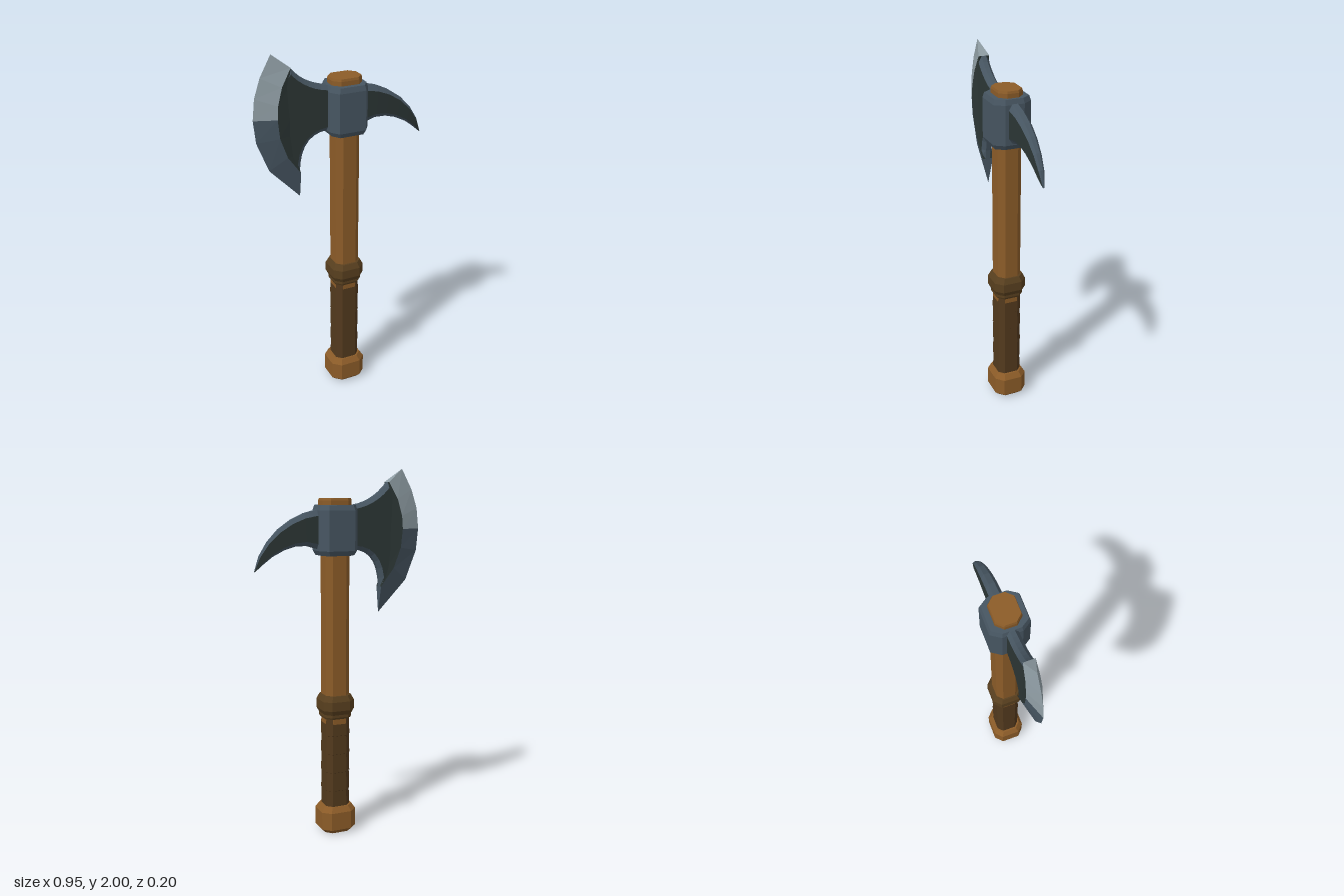
import * as THREE from 'three';

const mat = (name, color) => {
  const m = new THREE.MeshStandardMaterial({ color });
  m.name = name;
  return m;
};

// Flat-shaded skin through closed rings of [x, y, z]; sideMats picks a material per ring side.
function loft(rings, sideMats = () => 0) {
  const buckets = [[], []];
  const n = rings[0].length;
  const tri = (m, ...pts) => pts.forEach((p) => buckets[m].push(...p));
  for (let r = 0; r < rings.length - 1; r++) {
    for (let i = 0; i < n; i++) {
      const j = (i + 1) % n, a = rings[r], b = rings[r + 1], m = sideMats(i);
      tri(m, a[i], a[j], b[j]);
      tri(m, a[i], b[j], b[i]);
    }
  }
  const first = rings[0], last = rings[rings.length - 1];
  for (let i = 1; i < n - 1; i++) {
    tri(0, first[0], first[i + 1], first[i]);
    tri(0, last[0], last[i], last[i + 1]);
  }
  const g = new THREE.BufferGeometry();
  g.setAttribute('position', new THREE.Float32BufferAttribute(buckets.flat(), 3));
  g.addGroup(0, buckets[0].length / 3, 0);
  g.addGroup(buckets[0].length / 3, buckets[1].length / 3, 1);
  g.computeVertexNormals();
  return g;
}

// Upright octagonal prism: half width, half depth, corner cuts, and [y, scale] layers.
const AXIS = 0.022;
function prism(w, d, cx, cz, layers) {
  const plan = [[w, d - cz], [w, cz - d], [w - cx, -d], [cx - w, -d],
    [-w, cz - d], [-w, d - cz], [cx - w, d], [w - cx, d]];
  return loft(layers.map(([y, s]) => plan.map(([x, z]) => [AXIS + x * s, y, z * s])));
}

export function createModel() {
  const wood = mat('wood', 0x8c5c28);
  const wrap = mat('leather wrap', 0x52391d);
  const collarMat = mat('leather collar', 0x59401f);
  const steel = mat('steel', 0x475662);
  const darkSteel = mat('dark steel', 0x2c3635);
  const bright = mat('bright steel', 0x8f9da4);

  const model = new THREE.Group();
  model.name = 'battleAxe';
  const add = (name, geometry, material) => {
    const mesh = new THREE.Mesh(geometry, material);
    mesh.name = name;
    model.add(mesh);
  };

  // Handle
  add('shaft', prism(0.068, 0.066, 0.03, 0.03, [[0.6, 1], [1.6, 1]]), wood);
  add('shaftTop', prism(0.083, 0.067, 0.034, 0.036,
    [[1.75, 1], [1.835, 1], [1.847, 0.95]]), wood);
  add('pommel', prism(0.1, 0.093, 0.042, 0.04,
    [[0, 0.75], [0.025, 1], [0.125, 1], [0.155, 0.8]]), wood);

  // Grip wound in slightly tapering bands
  const bands = [];
  for (let i = 0; i < 5; i++) {
    const y = 0.14 + i * 0.106;
    bands.push([y, 1.025], [y + 0.104, 0.985]);
  }
  add('grip', prism(0.068, 0.066, 0.028, 0.028, bands), wrap);
  add('collarLower', prism(0.078, 0.076, 0.032, 0.032,
    [[0.66, 0.95], [0.67, 1], [0.7, 1]]), collarMat);
  add('collarUpper', prism(0.09, 0.09, 0.038, 0.038,
    [[0.685, 0.87], [0.71, 1], [0.76, 1], [0.79, 0.84]]), collarMat);

  // Socket around the handle
  add('socket', prism(0.107, 0.102, 0.034, 0.05,
    [[1.55, 0.88], [1.575, 1], [1.785, 1], [1.812, 0.92]]), steel);

  // Blade body: dark cheeks with a steel chamfered rim
  const crest = [[-0.28, 1.93], [-0.33, 1.84], [-0.355, 1.75], [-0.36, 1.68],
    [-0.35, 1.58], [-0.31, 1.47], [-0.238, 1.37]];
  const outline = new THREE.Shape();
  outline.moveTo(-0.03, 1.81);
  outline.lineTo(-0.08, 1.812);
  outline.quadraticCurveTo(-0.2, 1.83, -0.28, 1.93);
  crest.slice(1, -1).forEach(([x, y]) => outline.lineTo(x - 0.02, y));
  outline.lineTo(-0.238, 1.36);
  outline.bezierCurveTo(-0.235, 1.51, -0.18, 1.57, -0.08, 1.575);
  outline.lineTo(-0.03, 1.575);
  const body = new THREE.ExtrudeGeometry(outline, {
    depth: 0.024, bevelEnabled: true, bevelSegments: 1, bevelSize: 0.022,
    bevelThickness: 0.018, bevelOffset: -0.022, curveSegments: 7,
  });
  body.translate(0, 0, -0.012);
  add('bladeBody', body, [darkSteel, steel]);

  // Cutting edge: wedge sections from the crest out to the sharp rim
  const rim = [[-0.37, 2.0], [-0.43, 1.89], [-0.463, 1.79], [-0.475, 1.68],
    [-0.463, 1.56], [-0.4, 1.4], [-0.235, 1.228]];
  const sections = crest.map(([x, y], i) => {
    const s = Math.sin((i / (crest.length - 1)) * Math.PI);
    const t = 0.03 + 0.011 * s, inner = x + 0.08 * s;
    return [[inner, y, 0.028], [x, y, t], [...rim[i], 0], [x, y, -t], [inner, y, -0.028]];
  });
  const edgeSide = (i) => (i === 1 || i === 2 ? 0 : 1);
  add('upperCuttingEdge', loft(sections.slice(0, 4), edgeSide), [bright, darkSteel]);
  add('lowerCuttingEdge', loft(sections.slice(3), edgeSide), [steel, darkSteel]);

  // Curved back spike: [x, top, bottomX, bottom, half thickness]
  const spike = [[0.08, 1.795, 0.08, 1.575, 0.033], [0.13, 1.788, 0.13, 1.585, 0.033],
    [0.2, 1.77, 0.19, 1.602, 0.032], [0.27, 1.738, 0.25, 1.6, 0.03],
    [0.34, 1.69, 0.31, 1.583, 0.026], [0.4, 1.627, 0.375, 1.55, 0.021],
    [0.445, 1.555, 0.43, 1.508, 0.015], [0.472, 1.476, 0.468, 1.474, 0.004]];
  const spikeRings = spike.map(([tx, ty, bx, by, t]) => {
    const at = (k, z) => [tx + (bx - tx) * k, ty + (by - ty) * k, z];
    const h = t * 0.45;
    return [at(0, -h), at(0, h), at(0.15, t), at(0.87, t),
      at(1, h), at(1, -h), at(0.87, -t), at(0.15, -t)];
  });
  add('backSpike', loft(spikeRings, (i) => (i === 2 || i === 6 ? 1 : 0)), [steel, darkSteel]);

  return model;
}
